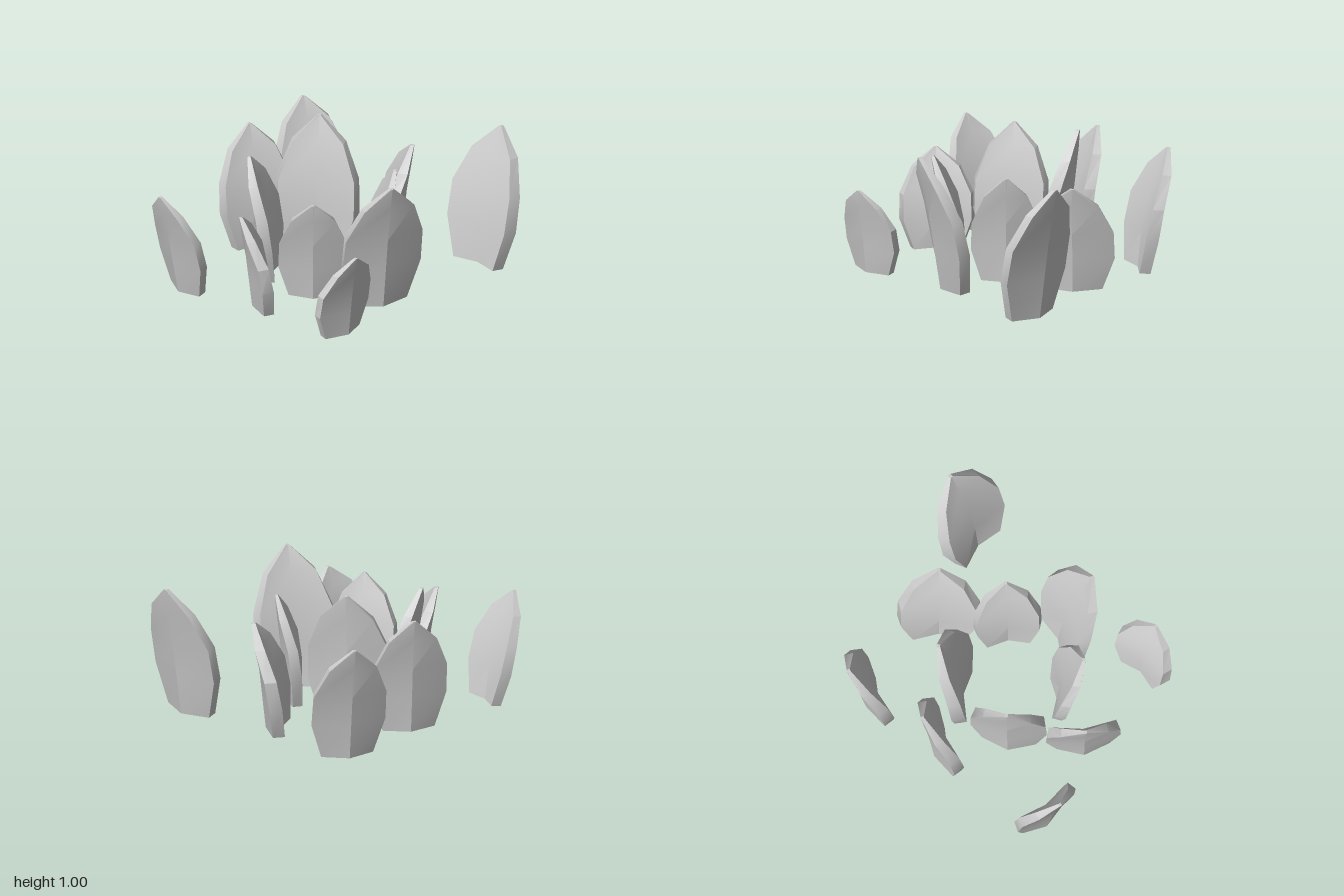
import * as THREE from 'three';
import { toCreasedNormals } from 'three/addons/utils/BufferGeometryUtils.js';

// Cross-sections of one slab, for width 1 and height 1, z pointing outward:
// [y, outer half width, outer edge z, outer ridge z, inner half width, inner edge z, inner ridge z]
const SECTIONS = [
  [0.00, 0.35, 0.13, 0.255, 0.31, -0.01, 0.07],
  [0.30, 0.50, 0.155, 0.29, 0.45, 0.00, 0.08],
  [0.56, 0.49, 0.205, 0.32, 0.45, 0.06, 0.135],
  [0.82, 0.32, 0.33, 0.37, 0.30, 0.21, 0.25],
  [1.00, 0.02, 0.395, 0.40, 0.02, 0.35, 0.355],
];

function slabGeometry(width, height) {
  const positions = [];
  const index = [];
  SECTIONS.forEach(([y, ow, oe, or, iw, ie, ir], row) => {
    const ring = [[-ow, oe], [0, or], [ow, oe], [iw, ie], [0, ir], [-iw, ie]];
    for (const [x, z] of ring) positions.push(x * width, y * height, z * width);
    if (row === 0) return;
    const lo = (row - 1) * 6, hi = row * 6;
    for (let k = 0; k < 6; k++) {
      const n = (k + 1) % 6;
      index.push(lo + k, lo + n, hi + n, lo + k, hi + n, hi + k);
    }
  });
  // foot and tip caps
  const top = (SECTIONS.length - 1) * 6;
  for (const [a, b, c] of [[0, 1, 4], [0, 4, 5], [1, 2, 3], [1, 3, 4]]) {
    index.push(c, b, a, top + a, top + b, top + c);
  }
  const geometry = new THREE.BufferGeometry();
  geometry.setAttribute('position', new THREE.Float32BufferAttribute(positions, 3));
  geometry.setIndex(index);
  return toCreasedNormals(geometry, 0.4);
}

// Each slab: tip x, y, z, foot y, outward direction x, z, width, outward reach of the tip
const SLABS = [
  // outer slabs
  [-0.865, 0.85, -0.715, 0.03, -0.86, -0.51, 0.52, 0.27],
  [0.125, 0.78, -0.69, 0.03, 0.80, -0.61, 0.565, 0.24],
  [0.64, 0.97, -1.00, 0.04, 0.05, -1.00, 0.57, 0.30],
  [-0.84, 0.88, -0.105, 0.05, -0.85, -0.52, 0.52, 0.23],
  [-0.20, 0.70, 0.805, 0.04, -0.72, 0.70, 0.51, 0.22],
  [-0.73, 0.77, 1.00, 0.03, -0.26, 0.965, 0.46, 0.275],
  [0.735, 0.63, 0.695, 0.04, 0.995, 0.10, 0.465, 0.197],
  // central ring
  [-0.395, 1.00, -0.315, 0.05, -0.52, -0.854, 0.575, 0.22],
  [0.31, 0.81, -0.265, 0.06, 0.72, -0.69, 0.465, 0.183],
  [0.66, 0.95, 0.22, 0.013, 0.87, 0.49, 0.57, 0.307],
  [-0.49, 0.90, 0.35, 0.05, -0.87, 0.49, 0.52, 0.21],
  [0.20, 0.79, 0.50, 0.05, 0.64, 0.77, 0.465, 0.23],
];

export function createModel() {
  const model = new THREE.Group();
  model.name = 'stoneSlabs';
  const stone = new THREE.MeshStandardMaterial({ color: 0xcccccc });
  stone.name = 'grey stone';

  SLABS.forEach(([x, y, z, foot, dx, dz, width, reach], i) => {
    const tilt = (reach - 0.4 * width) / (y - foot);
    const height = y - foot + 0.4 * width * Math.sin(tilt);
    const slab = new THREE.Mesh(slabGeometry(width, height), stone);
    slab.name = `${i < 7 ? 'outerSlab' : 'ringSlab'}${i + 1}`;
    slab.rotation.order = 'YXZ';
    slab.rotation.set(tilt, Math.atan2(dx, dz), 0);
    slab.position.set(x - dx * reach, foot, z - dz * reach);
    model.add(slab);
  });
  return model;
}
